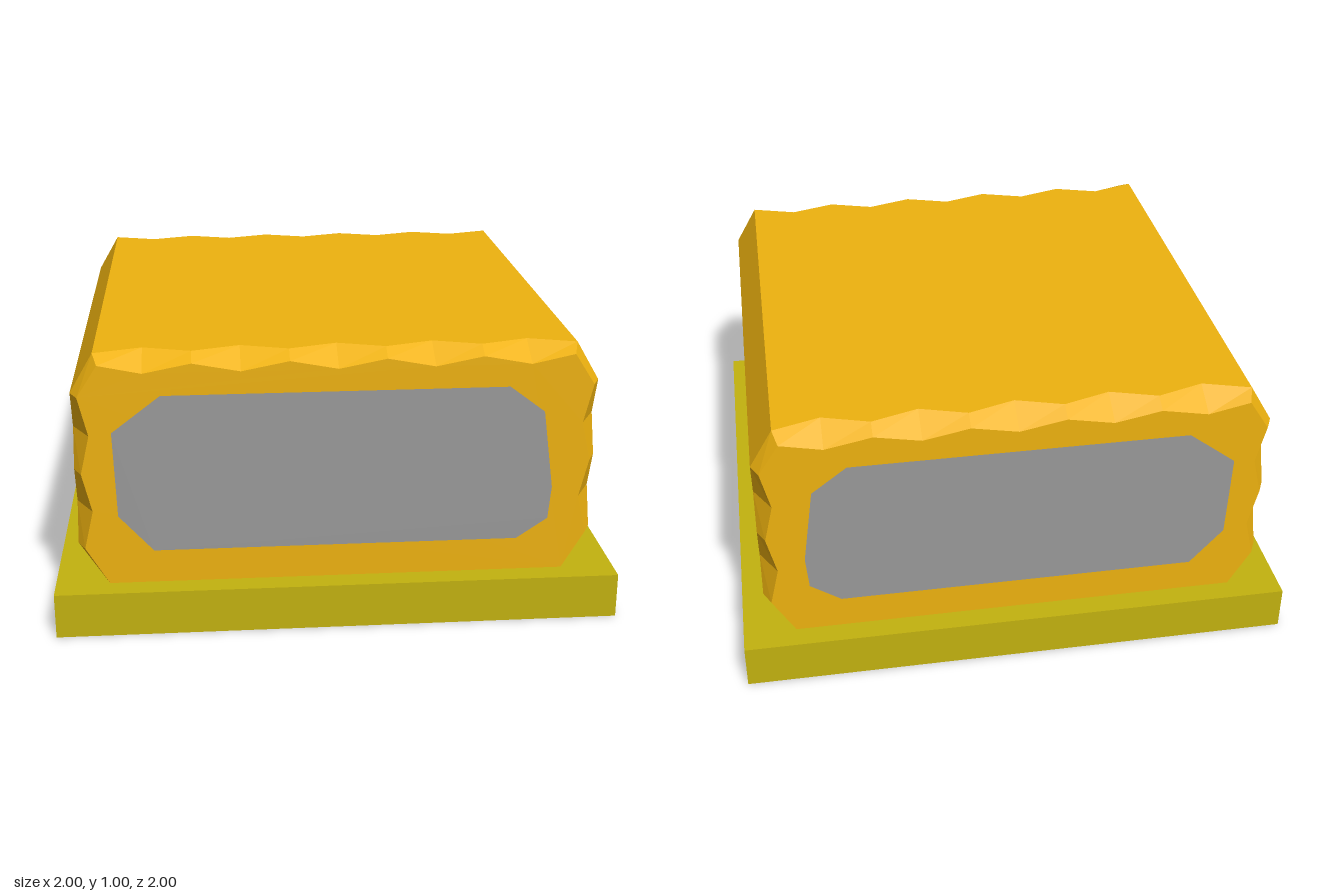
import * as THREE from 'three';

const BASE_TOP = 0.163, FACE_Z = 0.917;

function material(color) {
  return new THREE.MeshStandardMaterial({ color, flatShading: true, side: THREE.DoubleSide });
}

function addMesh(group, name, geometry, mat) {
  const mesh = new THREE.Mesh(geometry, mat);
  mesh.name = name;
  group.add(mesh);
  return mesh;
}

// Stations around the block: outer edge (x, y, depth z) and inner face edge (u, v).
// Every second station is cut deeper, giving the chipped rim.
function rimStations() {
  const right = [{ x: 0.82, y: BASE_TOP, z: 0.865, u: 0.81, v: BASE_TOP }];
  for (let i = 0; i <= 4; i++) {
    const y = 0.3 + i * 0.14, deep = i % 2;
    right.push({ x: 0.917, y, z: deep ? 0.81 : 0.863, u: deep ? 0.857 : 0.89, v: y });
  }
  const top = [];
  for (let i = 0; i <= 10; i++) {
    const t = 1 - i / 5, deep = i % 2, end = i === 0 || i === 10;
    const x = t * 0.835;
    top.push({ x, y: 1, z: deep ? 0.81 : 0.863, u: end ? t * 0.818 : x, v: deep ? 0.94 : 0.972 });
  }
  const left = right.map(p => ({ ...p, x: -p.x, u: -p.u })).reverse();
  return [...right, ...top, ...left];
}

// Block lofted from back face edge to front face edge, closed by two faces.
function blockGeometry() {
  const s = rimStations();
  const rings = [
    s.map(p => [p.u, p.v, -FACE_Z]),
    s.map(p => [p.x, p.y, -p.z]),
    s.map(p => [p.x, p.y, p.z]),
    s.map(p => [p.u, p.v, FACE_Z]),
  ];
  const pos = [];
  for (let k = 0; k < 3; k++) {
    for (let i = 0; i < s.length - 1; i++) {
      const a = rings[k][i], b = rings[k][i + 1], c = rings[k + 1][i + 1], d = rings[k + 1][i];
      pos.push(...a, ...b, ...c, ...a, ...c, ...d);
    }
  }
  const outline = s.map(p => new THREE.Vector2(p.u, p.v));
  for (const [a, b, c] of THREE.ShapeUtils.triangulateShape(outline, [])) {
    pos.push(...rings[3][a], ...rings[3][b], ...rings[3][c]);
    pos.push(...rings[0][a], ...rings[0][c], ...rings[0][b]);
  }
  const g = new THREE.BufferGeometry();
  g.setAttribute('position', new THREE.Float32BufferAttribute(pos, 3));
  g.computeVertexNormals();
  return g;
}

export function createModel() {
  const model = new THREE.Group();
  model.name = 'blockOnPlinth';

  // Hollow plinth, open underneath
  const base = new THREE.BoxGeometry(2, BASE_TOP, 2);
  const index = Array.from(base.index.array);
  index.splice(18, 6);
  base.setIndex(index);
  base.clearGroups();
  base.translate(0, BASE_TOP / 2, 0);
  addMesh(model, 'plinth', base, material(0xc3b20f));

  // Chipped block
  addMesh(model, 'block', blockGeometry(), material(0xeeb20f));

  // Flat grey panels on the front and back faces
  const outline = [[-0.65, 0.285], [0.64, 0.285], [0.75, 0.36], [0.76, 0.48], [0.72, 0.765],
    [0.595, 0.86], [-0.61, 0.86], [-0.78, 0.73], [-0.77, 0.42]];
  const panelMat = material(0x999999);
  for (const side of [1, -1]) {
    const shape = new THREE.Shape(outline.map(([x, y]) => new THREE.Vector2(x * side, y)));
    const panel = addMesh(model, side > 0 ? 'frontPanel' : 'backPanel', new THREE.ShapeGeometry(shape), panelMat);
    panel.position.z = side * (FACE_Z + 0.002);
    if (side < 0) panel.rotation.y = Math.PI;
  }
  return model;
}
